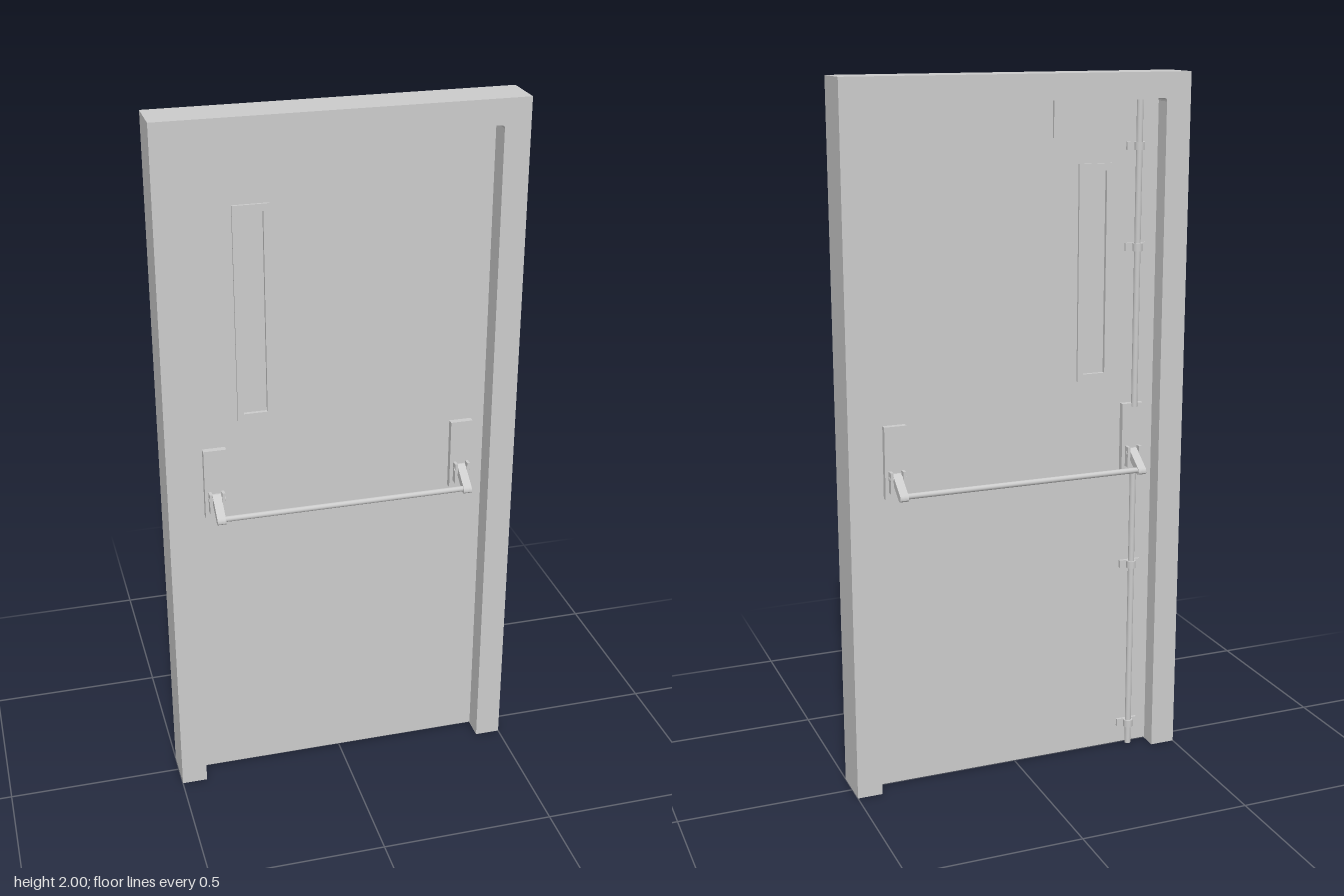
import * as THREE from 'three';

const grey = new THREE.MeshStandardMaterial({ color: 0xcccccc });
const FACE = 0.007; // half thickness of the door leaf

function add(parent, name, geometry, x = 0, y = 0, z = 0) {
  const mesh = new THREE.Mesh(geometry, grey);
  mesh.name = name;
  mesh.position.set(x, y, z);
  parent.add(mesh);
  return mesh;
}

function box(parent, name, w, h, d, x, y, z) {
  return add(parent, name, new THREE.BoxGeometry(w, h, d), x, y, z);
}

function rectPath(w, h, PathType) {
  const p = new PathType();
  p.moveTo(-w / 2, -h / 2);
  p.lineTo(w / 2, -h / 2);
  p.lineTo(w / 2, h / 2);
  p.lineTo(-w / 2, h / 2);
  p.closePath();
  return p;
}

// Three-sided frame with slightly eased inner corners
function doorFrame() {
  const s = new THREE.Shape();
  const i = 0.427, t = 1.93, r = 0.01;
  s.moveTo(-0.5, 0);
  s.lineTo(-i, 0);
  s.lineTo(-i, t - r);
  s.quadraticCurveTo(-i, t, -i + r, t);
  s.lineTo(i - r, t);
  s.quadraticCurveTo(i, t, i, t - r);
  s.lineTo(i, 0);
  s.lineTo(0.5, 0);
  s.lineTo(0.5, 2);
  s.lineTo(-0.5, 2);
  s.closePath();
  return new THREE.ExtrudeGeometry(s, { depth: 0.127, bevelEnabled: false, curveSegments: 4 });
}

// Raised trim around the narrow window
function windowTrim() {
  const s = rectPath(0.1, 0.61, THREE.Shape);
  s.holes.push(rectPath(0.066, 0.57, THREE.Path));
  return new THREE.ExtrudeGeometry(s, { depth: 0.007, bevelEnabled: false });
}

// Leaf with the window cut through it
function doorLeaf() {
  const s = new THREE.Shape();
  s.moveTo(-0.427, 0.004);
  s.lineTo(0.427, 0.004);
  s.lineTo(0.427, 1.93);
  s.lineTo(-0.427, 1.93);
  s.closePath();
  const hole = new THREE.Path();
  hole.moveTo(-0.27, 1.165);
  hole.lineTo(-0.27, 1.735);
  hole.lineTo(-0.204, 1.735);
  hole.lineTo(-0.204, 1.165);
  hole.closePath();
  s.holes.push(hole);
  return new THREE.ExtrudeGeometry(s, { depth: FACE * 2, bevelEnabled: false });
}

// Swinging arm: side profile (outward, up) extruded across its width
function armGeometry(width) {
  const s = new THREE.Shape();
  s.moveTo(0.02, 0.918);
  s.lineTo(0.077, 0.878);
  s.quadraticCurveTo(0.092, 0.87, 0.097, 0.88);
  s.quadraticCurveTo(0.098, 0.89, 0.09, 0.895);
  s.lineTo(0.03, 0.938);
  s.lineTo(0.02, 0.938);
  s.closePath();
  const g = new THREE.ExtrudeGeometry(s, { depth: width, bevelEnabled: false, curveSegments: 6 });
  g.translate(0, 0, -width / 2);
  g.rotateY(-Math.PI / 2); // profile x becomes +z
  return g;
}

// Push bar with two end housings, built facing +z
function pushBar() {
  const g = new THREE.Group();
  g.name = 'pushBar';
  for (const s of [-1, 1]) {
    box(g, 'housingPlate', 0.064, 0.206, 0.018, s * 0.357, 0.967, FACE + 0.009);
    for (const e of [-1, 1]) {
      box(g, 'pivotCheek', 0.008, 0.06, 0.02, s * 0.357 + e * 0.018, 0.915, FACE + 0.027);
    }
    add(g, 'arm', armGeometry(0.024), s * 0.357);
    const pin = add(g, 'pivotPin', new THREE.CylinderGeometry(0.006, 0.006, 0.048, 12), s * 0.357, 0.925, 0.035);
    pin.rotation.z = Math.PI / 2;
  }
  const bar = add(g, 'bar', new THREE.CylinderGeometry(0.008, 0.008, 0.7, 16), 0, 0.887, 0.084);
  bar.rotation.z = Math.PI / 2;
  return g;
}

export function createModel() {
  const model = new THREE.Group();
  model.name = 'fireDoor';

  add(model, 'frame', doorFrame(), 0, 0, -0.057);
  add(model, 'doorLeaf', doorLeaf(), 0, 0, -FACE);

  // Window with trim on both faces
  box(model, 'windowPane', 0.066, 0.57, 0.006, -0.237, 1.45, 0);
  add(model, 'frontWindowTrim', windowTrim(), -0.237, 1.45, FACE);
  add(model, 'backWindowTrim', windowTrim(), -0.237, 1.45, -FACE - 0.007);

  // Push bars on both faces
  const front = pushBar();
  const back = pushBar();
  back.rotation.y = Math.PI;
  model.add(front, back);

  // Closer plate at the top of the back face
  box(model, 'closerPlate', 0.2, 0.1, 0.008, -0.21, 1.878, -FACE - 0.004);

  // Vertical latch rods above and below the back housing
  const rodX = -0.362, rodZ = -0.024;
  for (const [y0, y1] of [[0.005, 0.87], [1.06, 1.925]]) {
    add(model, 'latchRod', new THREE.CylinderGeometry(0.009, 0.009, y1 - y0, 12), rodX, (y0 + y1) / 2, rodZ);
  }

  // Rod guides: foot plate plus collar
  for (const y of [0.07, 0.58, 1.52, 1.8]) {
    box(model, 'guideFoot', 0.064, 0.022, 0.008, rodX, y, -FACE - 0.004);
    add(model, 'guideCollar', new THREE.CylinderGeometry(0.014, 0.014, 0.022, 12), rodX, y, rodZ);
  }
  return model;
}
